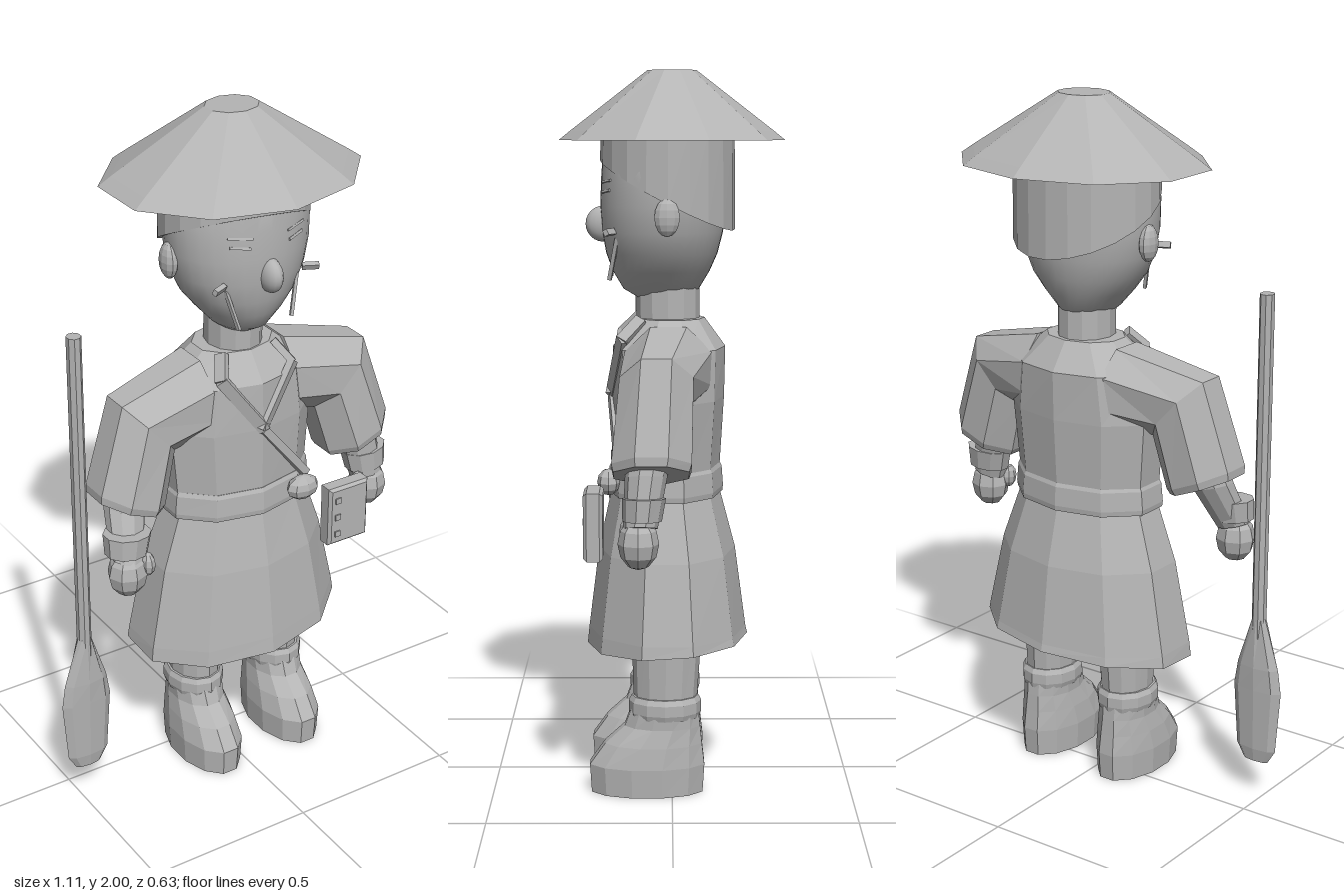
import * as THREE from 'three';
import { mergeVertices } from 'three/addons/utils/BufferGeometryUtils.js';

const clay = new THREE.MeshStandardMaterial({ color: 0xb4b4b4 });
clay.name = 'plain grey';
const V = (x, y, z) => new THREE.Vector3(x, y, z);

// Capped loft through elliptical rings [x, y, z, rx, rz, tilt], listed bottom to top
function loft(rings, n = 10, phase = 0, smooth = false, edit = null) {
  const ang = Array.from({ length: n }, (_, i) => ((i + phase) / n) * Math.PI * 2);
  const sx = 1 / Math.max(...ang.map(a => Math.abs(Math.sin(a))));
  const sz = 1 / Math.max(...ang.map(a => Math.abs(Math.cos(a))));
  const pos = [], idx = [];
  rings.forEach(([x, y, z, rx, rz, tilt = 0], r) => ang.forEach(a => {
    const u = Math.sin(a) * rx * sx;
    const p = V(x + u * Math.cos(tilt), y + u * Math.sin(tilt), z + Math.cos(a) * rz * sz);
    if (edit) edit(p, r, a);
    pos.push(p.x, p.y, p.z);
  }));
  const last = rings.length - 1;
  for (let r = 0; r < last; r++) for (let i = 0; i < n; i++) {
    const a = r * n + i, b = r * n + (i + 1) % n;
    idx.push(a, b, b + n, a, b + n, a + n);
  }
  for (let i = 1; i < n - 1; i++) {
    idx.push(0, i + 1, i, last * n, last * n + i, last * n + i + 1);
  }
  let g = new THREE.BufferGeometry();
  g.setAttribute('position', new THREE.Float32BufferAttribute(pos, 3));
  g.setIndex(idx);
  if (!smooth) g = g.toNonIndexed();
  g.computeVertexNormals();
  return g;
}

export function createModel() {
  const model = new THREE.Group();
  const figure = new THREE.Group();
  figure.name = 'figure';
  figure.position.x = 0.065;
  model.add(figure);

  const add = (name, geo, parent = figure) => {
    const m = new THREE.Mesh(geo, clay);
    m.name = name;
    parent.add(m);
    return m;
  };
  // Straight bar between two points
  const bar = (name, p, q, w, d) => {
    const dir = q.clone().sub(p);
    const m = add(name, new THREE.BoxGeometry(w, dir.length(), d));
    m.position.copy(p).add(q).multiplyScalar(0.5);
    m.quaternion.setFromUnitVectors(V(0, 1, 0), dir.normalize());
    return m;
  };
  const blob = (name, x, y, z, rx, ry, rz, ws = 10, hs = 7, flat = true) => {
    let g = new THREE.SphereGeometry(1, ws, hs).scale(rx, ry, rz);
    if (flat) { g = g.toNonIndexed(); g.computeVertexNormals(); }
    const m = add(name, g);
    m.position.set(x, y, z);
    return m;
  };

  // Wide conical hat with a shallow hollow underside
  add('hat', loft([
    [0, 1.84, 0, 0.23, 0.2], [0, 1.81, 0, 0.345, 0.3], [0, 1.81, 0, 0.357, 0.313],
    [0, 1.835, 0, 0.322, 0.282], [0, 2, 0, 0.073, 0.068],
  ]));

  // Head, nose, ears and neck
  add('head', loft([
    [0, 1.37, 0.03, 0.045, 0.055], [0, 1.4, 0.03, 0.08, 0.105], [0, 1.45, 0.03, 0.125, 0.135],
    [0, 1.5, 0.028, 0.165, 0.155], [0, 1.56, 0.026, 0.192, 0.168], [0, 1.63, 0.025, 0.207, 0.174],
    [0, 1.71, 0.022, 0.212, 0.174], [0, 1.83, 0.015, 0.208, 0.172],
  ], 32, 0, true));
  blob('nose', 0, 1.58, 0.19, 0.03, 0.05, 0.05, 16, 12, false);
  add('neck', loft([[0, 1.28, 0.01, 0.08, 0.088], [0, 1.42, 0.012, 0.08, 0.088]], 12));

  // Headscarf: low at the back, raised over the brow, slightly lopsided
  add('headscarf', loft([[0, 1.66, 0.012, 0.217, 0.187], [0, 1.83, 0.012, 0.215, 0.185]], 20, 0, false,
    (p, r, a) => { if (r === 0) p.y += 0.095 * Math.cos(a) - 0.02 * Math.sin(a); }));

  // Torso, belt and flared skirt
  add('tunic', loft([
    [0, 0.87, 0.018, 0.213, 0.15], [0, 1.1, 0.012, 0.232, 0.158],
    [0, 1.24, 0.008, 0.21, 0.157], [0, 1.32, 0.006, 0.115, 0.097],
  ]));
  add('belt', loft([[0, 0.83, 0.018, 0.224, 0.16], [0, 0.845, 0.018, 0.226, 0.162],
    [0, 0.9, 0.018, 0.221, 0.158], [0, 0.912, 0.018, 0.215, 0.152]]));
  add('skirt', loft([
    [0, 0.405, 0.013, 0.32, 0.227, 0.05], [0, 0.44, 0.013, 0.315, 0.222, 0.04],
    [0, 0.67, 0.014, 0.268, 0.192], [0, 0.835, 0.018, 0.212, 0.152],
  ], 10, 0, false, (p, r) => { if (r === 0) p.y -= 0.06 * p.z; }));

  for (const s of [1, -1]) {
    const side = s > 0 ? 'left' : 'right';
    const hz = s > 0 ? 0.09 : 0.14;
    // Wide sleeve, forearm, cuff, hand and thumb
    const limb = rings => rings.map(([x, y, z, rx, rz, t]) => [x * s, y, z, rx, rz, t * s]);
    const sleeve = limb([
      [0.384, 0.935, 0.056, 0.104, 0.1, 0.38], [0.379, 0.955, 0.055, 0.11, 0.106, 0.4],
      [0.318, 1.155, 0.042, 0.122, 0.098, 0.83], [0.13, 1.19, 0.01, 0.115, 0.12, 1.5],
    ]);
    add(side + 'Sleeve', loft(sleeve, 8, 0.5));
    add(side + 'Forearm', loft(limb([
      [0.425, 0.8, hz - 0.005, 0.048, 0.046, 0.25], [0.395, 0.93, 0.07, 0.058, 0.056, 0.25],
      [0.36, 1.05, 0.05, 0.062, 0.06, 0.3],
    ]), 10));
    add(side + 'Cuff', loft(limb([
      [0.425, 0.82, hz - 0.01, 0.06, 0.052, 0.08], [0.418, 0.88, hz - 0.015, 0.068, 0.058, 0.08],
    ]), 10));
    blob(side + 'Hand', 0.428 * s, 0.76, hz, 0.058, 0.07, 0.055, 8, 6);
    blob(side + 'Thumb', 0.378 * s, 0.785, hz + 0.025, 0.022, 0.036, 0.026, 8, 6);

    // Leg, boot and boot band
    const lx = 0.14 * s;
    add(side + 'Leg', loft([[lx, 0.2, 0.02, 0.068, 0.085], [lx - 0.005 * s, 0.5, 0.015, 0.082, 0.1]], 12));
    add(side + 'Boot', loft([
      [lx, 0, 0.07, 0.086, 0.155], [lx, 0.08, 0.07, 0.09, 0.16], [lx, 0.14, 0.052, 0.084, 0.135],
      [lx, 0.19, 0.027, 0.075, 0.105], [lx, 0.245, 0.02, 0.077, 0.092],
    ], 12, 0.5));
    add(side + 'BootBand', loft([[lx, 0.215, 0.02, 0.08, 0.097], [lx, 0.23, 0.02, 0.085, 0.101],
      [lx, 0.26, 0.02, 0.085, 0.101], [lx, 0.275, 0.02, 0.077, 0.093]], 12));

    // Ear, eye, brow and drooping whisker
    blob(side + 'Ear', 0.208 * s, 1.605, 0.014, 0.023, 0.052, 0.036, 10, 8);
    bar(side + 'Eye', V(0.06 * s, 1.668, 0.19), V(0.115 * s, 1.675, 0.169), 0.007, 0.008);
    bar(side + 'Brow', V(0.055 * s, 1.695, 0.19), V(0.12 * s, 1.702, 0.166), 0.006, 0.008);
    bar(side + 'Moustache', V(0.125 * s, 1.563, 0.16), V(0.167 * s, 1.563, 0.18), 0.017, 0.014);
    bar(side + 'Whisker', V(0.115 * s, 1.545, 0.15), V(0.085 * s, 1.43, 0.172), 0.011, 0.009);

    // Crossed collar
    bar(side + 'Collar', V(0.118 * s, 1.27, 0.137), V(-0.005 * s, 1.1, 0.17), 0.034, 0.02);
    bar(side + 'CollarTop', V(0.085 * s, 1.32, 0.085), V(0.118 * s, 1.265, 0.138), 0.034, 0.02);
  }

  // Strap, knot and pouch with studs
  bar('strap', V(0, 1.1, 0.168), V(0.165, 0.9, 0.145), 0.024, 0.02);
  blob('knot', 0.135, 0.876, 0.175, 0.052, 0.037, 0.032, 8, 6);
  const w = 0.06, h = 0.085;
  const outline = new THREE.Shape([[-w, -h], [w, -h], [w, h], [-w, h]].map(p => new THREE.Vector2(...p)));
  const pouch = add('pouch', new THREE.ExtrudeGeometry(outline, {
    depth: 0.035, bevelSize: 0.008, bevelThickness: 0.009, bevelSegments: 1,
  }));
  pouch.position.set(0.255, 0.782, 0.196);
  for (let i = 0; i < 3; i++) {
    const stud = add('pouchStud', new THREE.BoxGeometry(0.018, 0.018, 0.012));
    stud.position.set(0.215, 0.725 + i * 0.055, 0.238);
  }

  // Oar standing beside the right hand
  add('oarShaft', loft([[-0.48, 0.5, 0.09, 0.019, 0.02], [-0.48, 1.5, 0.09, 0.019, 0.02]], 8, 0.5), model);
  add('oarBlade', loft([
    [-0.48, 0.115, 0.09, 0.04, 0.012], [-0.48, 0.155, 0.09, 0.064, 0.018], [-0.48, 0.34, 0.09, 0.078, 0.023],
    [-0.48, 0.41, 0.09, 0.067, 0.025], [-0.48, 0.56, 0.09, 0.019, 0.02],
  ], 8), model);

  return model;
}
